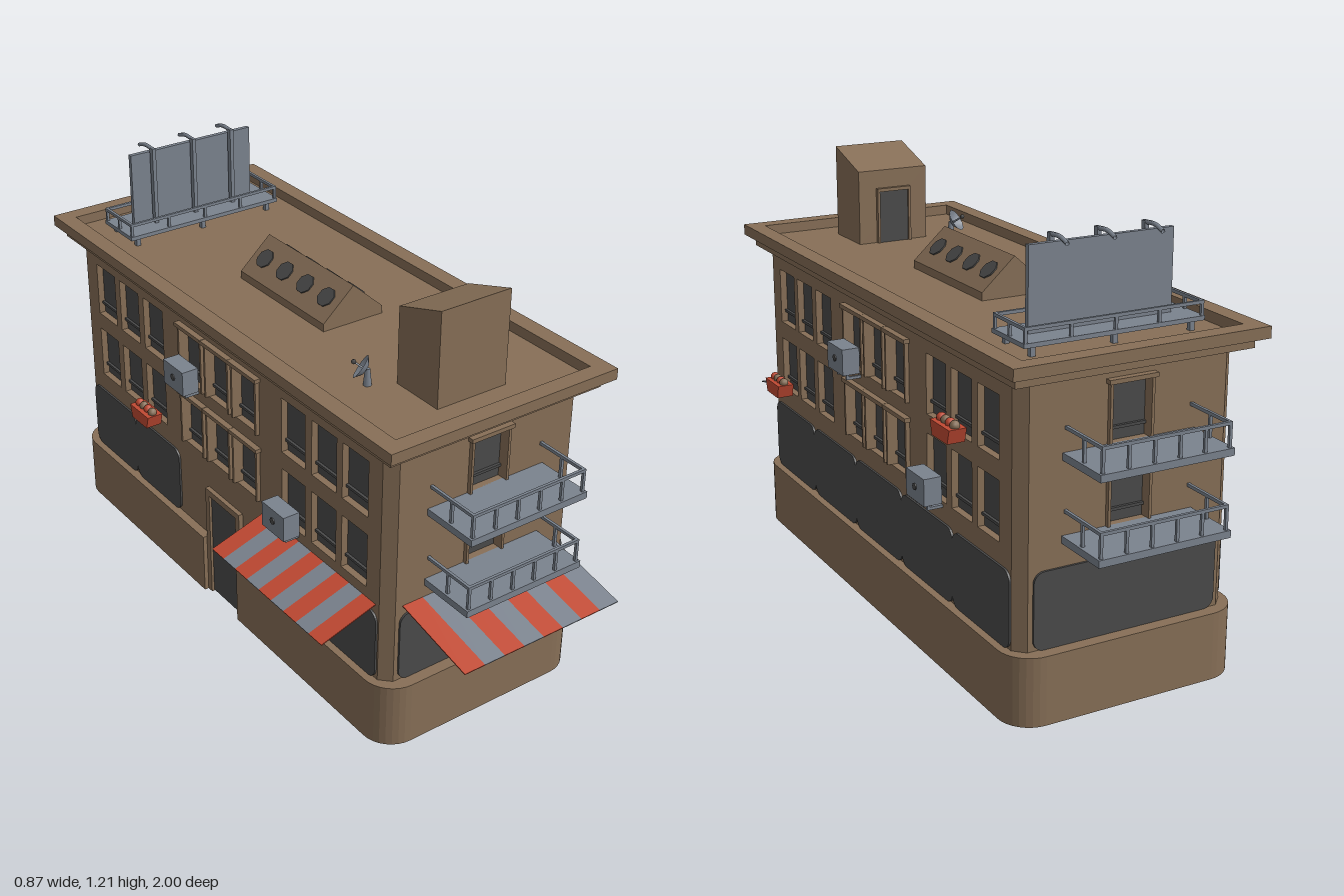
import * as THREE from 'three';

const mat = (name, color, side = THREE.FrontSide) => {
  const m = new THREE.MeshStandardMaterial({ color, side });
  m.name = name;
  return m;
};
const brown = mat('brown masonry', 0x876f57);
const dark = mat('dark glass', 0x4a4a4a);
const grey = mat('grey metal', 0x7b838e, THREE.DoubleSide);
const red = mat('red cloth', 0xc24a33, THREE.DoubleSide);

const CX = 0.053, CZ = -0.04, HX = 0.316, HZ = 0.785, WALL = 0.03, TOP = 0.905;

function add(parent, name, geo, material, x = 0, y = 0, z = 0) {
  const m = new THREE.Mesh(geo, material);
  m.name = name;
  m.position.set(x, y, z);
  parent.add(m);
  return m;
}
// box given by its extents on each axis
const box = (p, name, material, x0, x1, y0, y1, z0, z1) =>
  add(p, name, new THREE.BoxGeometry(x1 - x0, y1 - y0, z1 - z0), material, (x0 + x1) / 2, (y0 + y1) / 2, (z0 + z1) / 2);

function group(parent, name) {
  const g = new THREE.Group();
  g.name = name;
  parent.add(g);
  return g;
}
function rectPath(P, x0, x1, y0, y1) {
  return new P().moveTo(x0, y0).lineTo(x1, y0).lineTo(x1, y1).lineTo(x0, y1).lineTo(x0, y0);
}
const extrude = (shape, depth, seg = 4) =>
  new THREE.ExtrudeGeometry(shape, { depth, bevelEnabled: false, curveSegments: seg });
// plan shape (x, -z) raised upward
const raise = (shape, h) => extrude(shape, h).rotateX(-Math.PI / 2);

// rounded dark shop panel
function shopPanel(p, u0, u1, y0 = 0.192, y1 = 0.405, r = 0.03) {
  const s = new THREE.Shape();
  s.absarc(u1 - r, y0 + r, r, -Math.PI / 2, 0);
  s.absarc(u1 - r, y1 - r, r, 0, Math.PI / 2);
  s.absarc(u0 + r, y1 - r, r, Math.PI / 2, Math.PI);
  s.absarc(u0 + r, y0 + r, r, Math.PI, Math.PI * 1.5);
  add(p, 'shopWindow', extrude(s, 0.008), dark, 0, 0, -0.002);
}
// wall with openings [u0, u1, y0, y1] and recessed panes
function wall(p, u0, u1, openings) {
  const s = rectPath(THREE.Shape, u0, u1, 0, TOP);
  for (const o of openings) s.holes.push(rectPath(THREE.Path, ...o));
  add(p, 'wall', extrude(s, WALL), brown, 0, 0, -WALL);
  for (const [a, b, c, d] of openings) {
    box(p, 'pane', dark, a, b, c, d, -0.028, -0.02);
    box(p, 'sashBar', dark, a, b, c + 0.03, c + 0.038, -0.02, -0.012);
  }
}
// raised surround with a hood on top
function surround(p, u0, u1, y0, y1) {
  for (const [a, b] of [[u0 - 0.008, u0], [u1, u1 + 0.008]]) box(p, 'jamb', brown, a, b, y0, y1, -0.005, 0.012);
  box(p, 'hood', brown, u0 - 0.014, u1 + 0.014, y1, y1 + 0.012, -0.005, 0.018);
}
function awning(p, u0, u1, n, reach) {
  const g = group(p, 'awning'), drop = 0.055, w = (u1 - u0) / n;
  for (let i = 0; i < n; i++) {
    const m = add(g, 'awningStripe', new THREE.BoxGeometry(w, 0.003, Math.hypot(reach, drop)),
      i % 2 ? grey : red, u0 + (i + 0.5) * w, 0.43 - drop / 2, reach / 2);
    m.rotation.x = Math.atan2(drop, reach);
  }
}
function airConditioner(p, u, y) {
  const g = group(p, 'airConditioner');
  box(g, 'casing', grey, u - 0.052, u + 0.052, y, y + 0.076, 0.012, 0.064);
  add(g, 'fanHub', new THREE.CylinderGeometry(0.01, 0.01, 0.006, 8).rotateX(Math.PI / 2), dark, u, y + 0.04, 0.064);
  for (const s of [-0.03, 0.03]) {
    box(g, 'bracketArm', grey, u + s - 0.004, u + s + 0.004, y - 0.02, y - 0.012, -0.002, 0.045);
    box(g, 'bracketLeg', grey, u + s - 0.004, u + s + 0.004, y - 0.02, y, 0.037, 0.045);
  }
}
function flowerBox(p, u, y) {
  const g = group(p, 'flowerBox');
  const t = new THREE.Shape([[-0.042, 0], [0.042, 0], [0.053, 0.04], [-0.053, 0.04]].map(a => new THREE.Vector2(...a)));
  add(g, 'planter', extrude(t, 0.05), red, u, y, 0.014);
  for (let i = 0; i < 4; i++)
    add(g, 'flower', new THREE.IcosahedronGeometry(0.014, 1), i % 2 ? brown : red, u - 0.036 + i * 0.024, y + 0.045, 0.039);
}
// railing round a rectangle; open at the inner side when closed is false
function railing(p, u0, u1, y0, y1, z0, z1, posts, closed) {
  const r = 0.004, g = group(p, 'railing');
  const ends = closed ? [z0, z1] : [z1];
  for (const z of ends) {
    box(g, 'handrail', grey, u0 - r, u1 + r, y1 - 0.009, y1, z - r, z + r);
    for (let i = 0; i < posts; i++) {
      const u = u0 + (u1 - u0) * i / (posts - 1);
      box(g, 'post', grey, u - r, u + r, y0, y1 - 0.005, z - r, z + r);
    }
  }
  for (const u of [u0, u1]) {
    box(g, 'sideRail', grey, u - r, u + r, y1 - 0.009, y1, z0, z1);
    box(g, 'sidePost', grey, u - r, u + r, y0, y1, (z0 + z1) / 2 - r, (z0 + z1) / 2 + r);
  }
}
function balcony(p, s, y) {
  const [u0, u1] = s > 0 ? [-0.14, 0.245] : [-0.245, 0.14];
  const g = group(p, 'balcony');
  box(g, 'balconySlab', grey, u0, u1, y, y + 0.02, -0.002, 0.172);
  railing(g, u0 + 0.01, u1 - 0.01, y + 0.02, y + 0.088, 0, 0.163, 6, false);
}

function roofItems(root) {
  const R = 0.93;
  // stair house with sloping roof
  const stair = group(root, 'stairHouse');
  const prof = new THREE.Shape([[-0.67, R], [-0.505, R], [-0.505, 1.155], [-0.67, 1.208]].map(a => new THREE.Vector2(...a)));
  add(stair, 'stairHouseBody', extrude(prof, 0.225).rotateY(Math.PI / 2), brown, -0.06, 0, 0);
  box(stair, 'roofDoor', dark, 0.005, 0.1, R, 1.09, 0.499, 0.506);
  for (const [a, b, c, d] of [[-0.003, 0.005, R, 1.1], [0.1, 0.108, R, 1.1], [-0.003, 0.108, 1.09, 1.1]])
    box(stair, 'roofDoorFrame', brown, a, b, c, d, 0.493, 0.508);

  // ridged skylight with octagonal vents
  const sky = group(root, 'skylight');
  const tri = new THREE.Shape([[-0.05, R], [0.15, R], [0.15, 0.955], [0.05, 1.045], [-0.05, 0.955]].map(a => new THREE.Vector2(...a)));
  add(sky, 'skylightBody', extrude(tri, 0.41), brown, 0, 0, -0.245);
  const tilt = Math.atan2(0.09, 0.1);
  for (const s of [-1, 1]) for (let i = 0; i < 4; i++) {
    const v = add(sky, 'vent', new THREE.CylinderGeometry(0.03, 0.03, 0.008, 8).rotateY(Math.PI / 8), dark,
      0.05 + s * 0.05, 1.0, 0.108 - i * 0.1);
    v.rotation.z = -s * tilt;
  }

  // billboard on a railed deck
  const sign = group(root, 'billboard');
  box(sign, 'deck', grey, -0.21, 0.315, 0.958, 0.97, -0.757, -0.597);
  for (const x of [-0.18, 0.05, 0.285]) for (const z of [-0.74, -0.615])
    box(sign, 'deckLeg', grey, x - 0.007, x + 0.007, R, 0.96, z - 0.007, z + 0.007);
  railing(sign, -0.204, 0.309, 0.97, 1.01, -0.751, -0.603, 5, true);
  box(sign, 'board', grey, -0.155, 0.265, 0.97, 1.192, -0.688, -0.674);
  for (const x of [-0.09, 0.05, 0.185]) {
    box(sign, 'boardPole', grey, x - 0.006, x + 0.006, 0.97, 1.208, -0.664, -0.648);
    const arm = new THREE.CatmullRomCurve3([[-0.65, 1.204], [-0.7, 1.206], [-0.735, 1.195]].map(a => new THREE.Vector3(x, a[1], a[0])));
    add(sign, 'lampArm', new THREE.TubeGeometry(arm, 6, 0.006, 6), grey);
  }

  // satellite dish facing the back right corner
  const dish = group(root, 'satelliteDish');
  add(dish, 'dishStand', new THREE.CylinderGeometry(0.007, 0.012, 0.05, 6), grey, -0.128, R + 0.025, 0.468);
  const bowl = group(dish, 'dishHead');
  bowl.position.set(-0.138, 0.982, 0.46);
  add(bowl, 'bowl', new THREE.LatheGeometry([[0, -0.012], [0.018, -0.008], [0.036, 0.006]].map(a => new THREE.Vector2(...a)), 10), grey);
  add(bowl, 'receiverArm', new THREE.CylinderGeometry(0.003, 0.003, 0.04, 5), grey, 0, 0.008, 0);
  add(bowl, 'receiver', new THREE.SphereGeometry(0.007, 6, 5), dark, 0, 0.028, 0);
  bowl.quaternion.setFromUnitVectors(new THREE.Vector3(0, 1, 0), new THREE.Vector3(-0.6, 0.55, -0.6).normalize());
}

export function createModel() {
  const root = new THREE.Group();
  root.name = 'cornerBuilding';

  // rounded plinth with a notch for the street door
  const bx = 0.343, bz = 0.825, r = 0.09, P = Math.PI;
  const plan = new THREE.Shape();
  plan.absarc(bx - r, -bz + r, r, -P / 2, 0);
  plan.absarc(bx - r, bz - r, r, 0, P / 2);
  plan.absarc(-bx + r, bz - r, r, P / 2, P);
  for (const [x, z] of [[-bx, -0.11], [-HX + 0.01, -0.11], [-HX + 0.01, 0.07], [-bx, 0.07]]) plan.lineTo(x, -(z - CZ));
  plan.absarc(-bx + r, -bz + r, r, P, P * 1.5);
  add(root, 'plinth', raise(plan, 0.192), brown, CX, 0, CZ);

  // core and chamfered corners
  const ix = HX - WALL, iz = HZ - WALL;
  box(root, 'core', brown, CX - ix, CX + ix, 0.002, TOP, CZ - iz, CZ + iz);
  for (const sx of [-1, 1]) for (const sz of [-1, 1]) {
    const t = new THREE.Shape([[ix, iz], [HX, iz], [ix, HZ]].map(([a, b]) => new THREE.Vector2(sx * a, -sz * b)));
    add(root, 'corner', raise(t, TOP), brown, CX, 0, CZ);
  }

  // long sides
  const windowZ = [0.603, 0.467, 0.327, 0.102, -0.037, -0.177, -0.397, -0.537, -0.677];
  const rows = [[0.462, 0.625], [0.678, 0.845]];
  for (const s of [1, -1]) {
    const side = group(root, s > 0 ? 'leftSide' : 'rightSide');
    side.position.x = CX + s * HX;
    side.rotation.y = s * P / 2;
    const openings = [];
    windowZ.forEach((z, i) => rows.forEach(([y0, y1]) => {
      const u = -s * z;
      openings.push([u - 0.055, u + 0.055, y0, y1]);
      if (i > 2 && i < 6) surround(side, u - 0.055, u + 0.055, y0, y1);
    }));
    const ends = [-s * (CZ - iz), -s * (CZ + iz)].sort((a, b) => a - b);
    wall(side, ends[0], ends[1], openings);
    if (s > 0) {
      for (let i = 0; i < 5; i++) shopPanel(side, -0.715 + i * 0.302, -0.413 + i * 0.302);
      airConditioner(side, -0.103, 0.68);
      airConditioner(side, 0.397, 0.465);
      flowerBox(side, -0.6, 0.465);
      flowerBox(side, 0.54, 0.68);
    } else {
      shopPanel(side, -0.79, -0.53);
      shopPanel(side, -0.53, -0.27);
      shopPanel(side, 0.2, 0.45);
      shopPanel(side, 0.45, 0.71);
      box(side, 'streetDoor', dark, -0.09, 0.05, 0.004, 0.345, 0, 0.006);
      for (const [a, b, c, d] of [[-0.11, -0.09, 0, 0.365], [0.05, 0.07, 0, 0.365], [-0.09, 0.05, 0.345, 0.365]])
        box(side, 'streetDoorFrame', brown, a, b, c, d, -0.005, 0.014);
      airConditioner(side, -0.183, 0.68);
      airConditioner(side, 0.32, 0.465);
      flowerBox(side, -0.397, 0.465);
      awning(side, 0.18, 0.7, 9, 0.172);
    }
  }

  // short ends with balcony doors
  for (const s of [1, -1]) {
    const end = group(root, s > 0 ? 'frontEnd' : 'backEnd');
    end.position.z = CZ + s * HZ;
    if (s < 0) end.rotation.y = P;
    const span = (a, b) => (s > 0 ? [a, b] : [-b, -a]);
    const door = span(-0.003, 0.11);
    const doors = [[0.488, 0.645], [0.705, 0.862]].map(y => [...door, ...y]);
    wall(end, ...span(CX - ix, CX + ix), doors);
    doors.forEach(d => surround(end, ...d));
    shopPanel(end, ...span(-0.22, 0.325));
    balcony(end, s, 0.468);
    balcony(end, s, 0.685);
    if (s > 0) awning(end, -0.21, 0.315, 8, 0.255);
  }

  // stepped cornice, parapet and roof floor
  box(root, 'lowerCornice', brown, CX - 0.345, CX + 0.345, 0.9, 0.932, CZ - 0.82, CZ + 0.82);
  const rim = rectPath(THREE.Shape, -0.369, 0.369, -0.853, 0.853);
  rim.holes.push(rectPath(THREE.Path, -0.318, 0.318, -0.803, 0.803));
  add(root, 'parapet', raise(rim, 0.032), brown, CX, 0.93, CZ);

  roofItems(root);
  return root;
}
